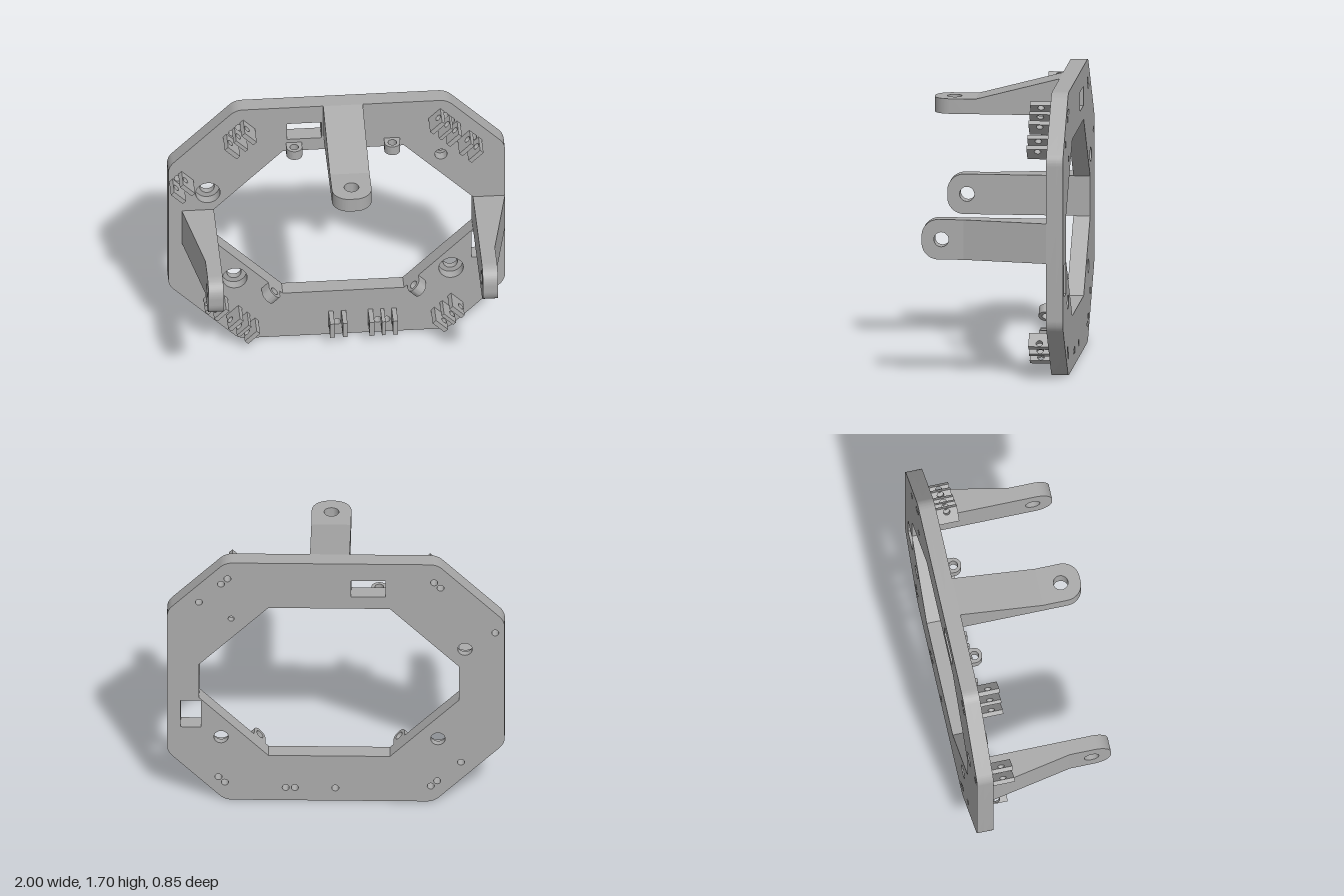
import * as THREE from 'three';
import { toCreasedNormals } from 'three/addons/utils/BufferGeometryUtils.js';

const BACK = -0.43, FACE = -0.33;
const grey = new THREE.MeshStandardMaterial({ color: 0xaaaaaa });
grey.name = 'grey plastic';

// Clip sets along the rim: centre, turn (local +Y points inward), number of walls
const q = Math.PI / 4;
const clips = [
  [0.003, 0.12, 0, 2], [0.27, 0.12, 0, 3],
  [-0.56, 0.15, -q, 3], [-0.72, 0.305, -q, 2],
  [0.655, 0.165, q, 3],
  [0.64, 1.545, 3 * q, 3], [0.79, 1.395, 3 * q, 2],
  [-0.58, 1.53, -3 * q, 3], [-0.923, 1.193, -3 * q, 2],
];
// Stepped screw holes: x, y, wide radius, narrow radius
const screws = [
  [-0.765, 1.095, 0.073, 0.043], [-0.605, 0.45, 0.073, 0.043],
  [0.68, 0.45, 0.073, 0.043], [0.62, 1.3, 0.037, 0.018],
];

const polygon = (pts) => pts.map(([x, y]) => new THREE.Vector2(x, y));
const rect = (x0, y0, x1, y1) => new THREE.Path(polygon([[x0, y0], [x1, y0], [x1, y1], [x0, y1]]));
const circle = (x, y, r) => new THREE.Path().absarc(x, y, r, 0, Math.PI * 2, true);

function extrude(shape, depth) {
  return new THREE.ExtrudeGeometry(shape, { depth, bevelEnabled: false, curveSegments: 14 });
}

function mesh(name, geometry) {
  const m = new THREE.Mesh(toCreasedNormals(geometry, 0.6), grey);
  m.name = name;
  return m;
}

// Closed polygon with its corners rounded over a tangent length r
function roundedPolygon(pts, r) {
  const v = polygon(pts), shape = new THREE.Shape();
  v.forEach((p, i) => {
    const a = v[(i + v.length - 1) % v.length], b = v[(i + 1) % v.length];
    const s = p.clone().add(a.clone().sub(p).setLength(r));
    const e = p.clone().add(b.clone().sub(p).setLength(r));
    if (i) shape.lineTo(s.x, s.y); else shape.moveTo(s.x, s.y);
    shape.quadraticCurveTo(p.x, p.y, e.x, e.y);
  });
  shape.closePath();
  return shape;
}

// One layer of the octagonal plate; the front layer has the wide screw recesses
function plateLayer(name, z0, z1, wide) {
  const s = roundedPolygon([
    [-0.58, 0], [0.657, 0], [1, 0.343], [1, 1.355],
    [0.655, 1.7], [-0.6, 1.7], [-1, 1.3], [-1, 0.42],
  ], 0.045);
  s.holes.push(new THREE.Path(polygon([
    [-0.32, 0.32], [0.4, 0.32], [0.81, 0.73], [0.81, 0.97],
    [0.4, 1.38], [-0.32, 1.38], [-0.73, 0.97], [-0.73, 0.73],
  ])));
  s.holes.push(rect(-0.295, 1.465, -0.09, 1.58), rect(0.8, 0.52, 0.92, 0.71));
  // the right window stays just clear of the central opening
  for (const [x, y, big, small] of screws) s.holes.push(circle(x, y, wide ? big : small));
  for (const [x, y, turn, walls] of clips) {
    for (const dx of walls === 3 ? [-0.027, 0.027] : [0]) {
      const o = new THREE.Vector2(dx, -0.03).rotateAround(new THREE.Vector2(), turn);
      s.holes.push(circle(x + o.x, y + o.y, 0.021));
    }
  }
  const g = extrude(s, z1 - z0);
  g.translate(0, 0, z0);
  return mesh(name, g);
}

// Arm: tapered root and a rounded, drilled tip (width X, thickness Y, length Z)
function arm(name, x, y, turn, width, rootThickness) {
  const group = new THREE.Group(), h = width / 2, r = 0.1;
  group.name = name;
  const tip = 0.42, bend = 0.17, t = 0.09;

  const root = extrude(new THREE.Shape(polygon([[FACE, 0], [bend, 0], [bend, t], [FACE, rootThickness]])), width);
  root.rotateY(-Math.PI / 2).translate(h, 0, 0);

  const s = new THREE.Shape();
  s.moveTo(-h, bend).lineTo(h, bend).lineTo(h, tip - r);
  s.absarc(h - r, tip - r, r, 0, Math.PI / 2, false);
  s.absarc(-h + r, tip - r, r, Math.PI / 2, Math.PI, false);
  s.closePath();
  s.holes.push(circle(0, 0.303, 0.044));
  const end = extrude(s, t);
  end.rotateX(Math.PI / 2).translate(0, t, 0);

  group.add(mesh(name + 'Root', root), mesh(name + 'Tip', end));
  group.position.set(x, y, 0);
  group.rotation.z = turn;
  return group;
}

// Set of thin upright walls, each with a cross hole
function clipSet([x, y, turn, walls]) {
  const group = new THREE.Group();
  group.name = 'wireClip';
  const rows = walls === 3 ? [[-0.07, 0.029], [0, 0.022], [0.07, 0.029]] : [[-0.038, 0.028], [0.038, 0.028]];
  for (const [dx, t] of rows) {
    const s = new THREE.Shape(polygon([[FACE, -0.05], [-0.2, -0.05], [-0.2, 0.05], [FACE, 0.05]]));
    s.holes.push(circle(-0.265, -0.025, 0.02));
    const g = extrude(s, t);
    g.rotateY(-Math.PI / 2).translate(dx + t / 2, 0, 0);
    group.add(mesh('clipWall', g));
  }
  group.position.set(x, y, 0);
  group.rotation.z = turn;
  return group;
}

// Round-topped eyelet standing on the rim of the opening
function lug(x, y, turn) {
  const r = 0.047, c = -0.285;
  const s = new THREE.Shape();
  s.moveTo(-r, FACE).lineTo(r, FACE).lineTo(r, c);
  s.absarc(0, c, r, 0, Math.PI, false);
  s.closePath();
  s.holes.push(circle(0, c, 0.026));
  const m = mesh('eyeletLug', extrude(s, 0.06).rotateX(Math.PI / 2));
  m.position.set(x, y, 0);
  m.rotation.z = turn;
  return m;
}

export function createModel() {
  const model = new THREE.Group();
  model.name = 'mountingFrame';
  model.add(plateLayer('plateBack', BACK, -0.39, false), plateLayer('plateFront', -0.39, FACE, true));
  model.add(
    arm('topArm', 0.0375, 1.48, 0, 0.235, 0.22),
    arm('leftArm', 0.81, 0.85, -Math.PI / 2, 0.24, 0.19),
    arm('rightArm', -0.73, 0.85, Math.PI / 2, 0.24, 0.19),
  );
  for (const c of clips) model.add(clipSet(c));
  model.add(
    lug(-0.255, 1.38, Math.PI), lug(0.327, 1.38, Math.PI),
    lug(-0.372, 0.372, -q), lug(0.452, 0.372, q),
  );
  return model;
}
